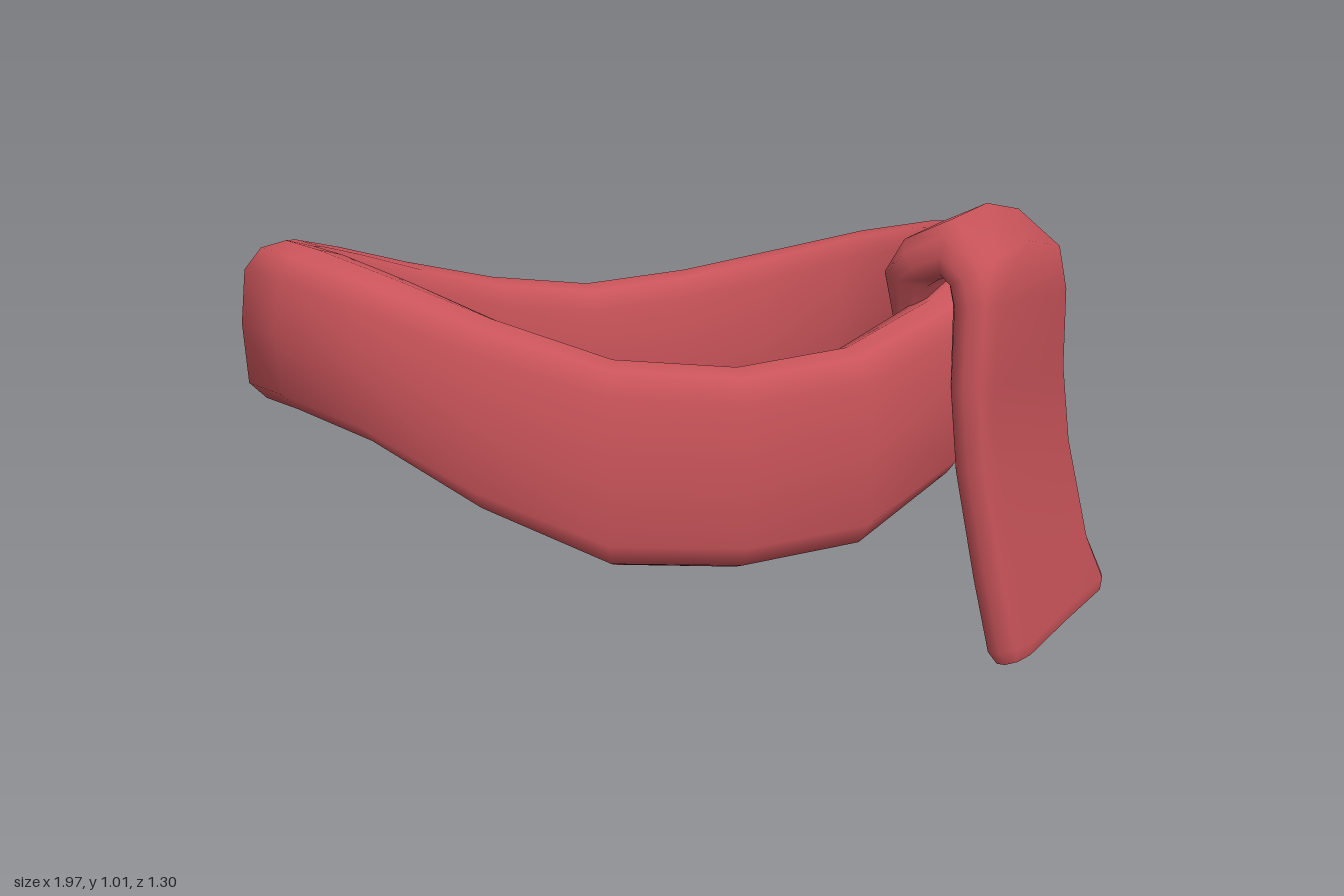
import * as THREE from 'three';

// Skin a list of cross-section loops; either closed on itself or capped at both ends
function loft(loops, closed) {
  const pos = [], idx = [], n = loops[0].length, m = loops.length;
  loops.forEach(l => l.forEach(p => pos.push(p.x, p.y, p.z)));
  for (let i = 0; i < (closed ? m : m - 1); i++) {
    for (let j = 0; j < n; j++) {
      const i2 = (i + 1) % m, j2 = (j + 1) % n;
      const a = i * n + j, b = i2 * n + j, c = i2 * n + j2, d = i * n + j2;
      idx.push(a, d, c, a, c, b);
    }
  }
  if (!closed) {
    [[loops[0], true], [loops[m - 1], false]].forEach(([loop, flip]) => {
      const base = pos.length / 3;
      const mid = loop.reduce((s, p) => s.add(p), new THREE.Vector3()).divideScalar(n);
      [mid, ...loop].forEach(p => pos.push(p.x, p.y, p.z));
      for (let j = 0; j < n; j++) {
        const a = base + 1 + j, b = base + 1 + (j + 1) % n;
        idx.push(base, flip ? b : a, flip ? a : b);
      }
    });
  }
  const g = new THREE.BufferGeometry();
  g.setAttribute('position', new THREE.Float32BufferAttribute(pos, 3));
  g.setIndex(idx);
  g.computeVertexNormals();
  return g;
}

// Neck loop: an oval band that dips at the front and back
function neckLoop() {
  const frontLow = [0.57, 0.575, 0.53, 0.40, 0.28, 0.26];
  const frontTop = [0.93, 0.925, 0.88, 0.80, 0.715, 0.69];
  const backLow = [0.57, 0.53, 0.45, 0.36, 0.335, 0.34];
  const backTop = [0.93, 0.915, 0.88, 0.825, 0.77, 0.74];
  // [inner 0 .. outer 1, height -0.5 .. 0.5]
  const section = [[1, 0], [0.95, 0.33], [0.77, 0.46], [0.5, 0.5], [0.22, 0.46], [0.04, 0.33],
    [0, 0], [0.04, -0.33], [0.22, -0.46], [0.5, -0.5], [0.77, -0.47], [0.95, -0.37]];
  const loops = [];
  for (let i = 0; i < 20; i++) {
    const t = i * Math.PI / 10, m = i % 10, k = Math.min(m, 10 - m);
    const low = (i <= 10 ? frontLow : backLow)[k], top = (i <= 10 ? frontTop : backTop)[k];
    loops.push(section.map(([r, v]) => new THREE.Vector3(
      -0.048 + (0.745 + 0.207 * r) * Math.cos(t),
      (low + top) / 2 + v * (top - low),
      -0.027 + (0.487 + 0.15 * r) * Math.sin(t))));
  }
  return loft(loops, true);
}

// Hanging end: a flat strip tucked inside the loop, folded over it and hanging outside
function hangingEnd() {
  // x, y, z, half width, half thickness
  const path = [
    [0.545, 0.74, 0.27, 0.17, 0.04], [0.545, 0.84, 0.275, 0.205, 0.055],
    [0.565, 0.915, 0.31, 0.21, 0.06], [0.605, 0.945, 0.37, 0.215, 0.065],
    [0.635, 0.90, 0.425, 0.22, 0.06], [0.64, 0.80, 0.445, 0.225, 0.055],
    [0.64, 0.62, 0.445, 0.235, 0.052], [0.66, 0.44, 0.445, 0.24, 0.052],
    [0.71, 0.20, 0.455, 0.25, 0.052], [0.752, 0.065, 0.46, 0.258, 0.052],
    [0.762, 0.036, 0.462, 0.25, 0.04]];
  const section = [[1, 0], [0.95, 0.65], [0.8, 1], [0, 0.92], [-0.8, 1], [-0.95, 0.65],
    [-1, 0], [-0.95, -0.65], [-0.8, -1], [0, -0.92], [0.8, -1], [0.95, -0.65]];
  const w = new THREE.Vector3(0.8, 0, -0.6);
  const at = i => new THREE.Vector3(...path[Math.max(0, Math.min(path.length - 1, i))]);
  const loops = path.map(([x, y, z, hw, ht], i) => {
    const t = at(i + 1).sub(at(i - 1));
    t.addScaledVector(w, -t.dot(w)).normalize();
    const n = t.clone().cross(w);
    const slant = i >= path.length - 2 ? 0.035 : 0; // hem rises to one side
    return section.map(([a, b]) => {
      const p = new THREE.Vector3(x, y, z).addScaledVector(w, a * hw).addScaledVector(n, b * ht);
      p.y += slant * a;
      // rounded shoulders where the strip folds over
      if (i >= 2 && i <= 4) p.y -= 0.045 * a * a;
      return p;
    });
  });
  return loft(loops, false);
}

export function createModel() {
  const group = new THREE.Group();
  group.name = 'scarf';
  const cloth = new THREE.MeshStandardMaterial({ color: 0xc9545a });
  cloth.name = 'red cloth';
  const add = (name, geometry) => {
    const mesh = new THREE.Mesh(geometry, cloth);
    mesh.name = name;
    group.add(mesh);
  };
  add('neckLoop', neckLoop());
  add('hangingEnd', hangingEnd());
  return group;
}
